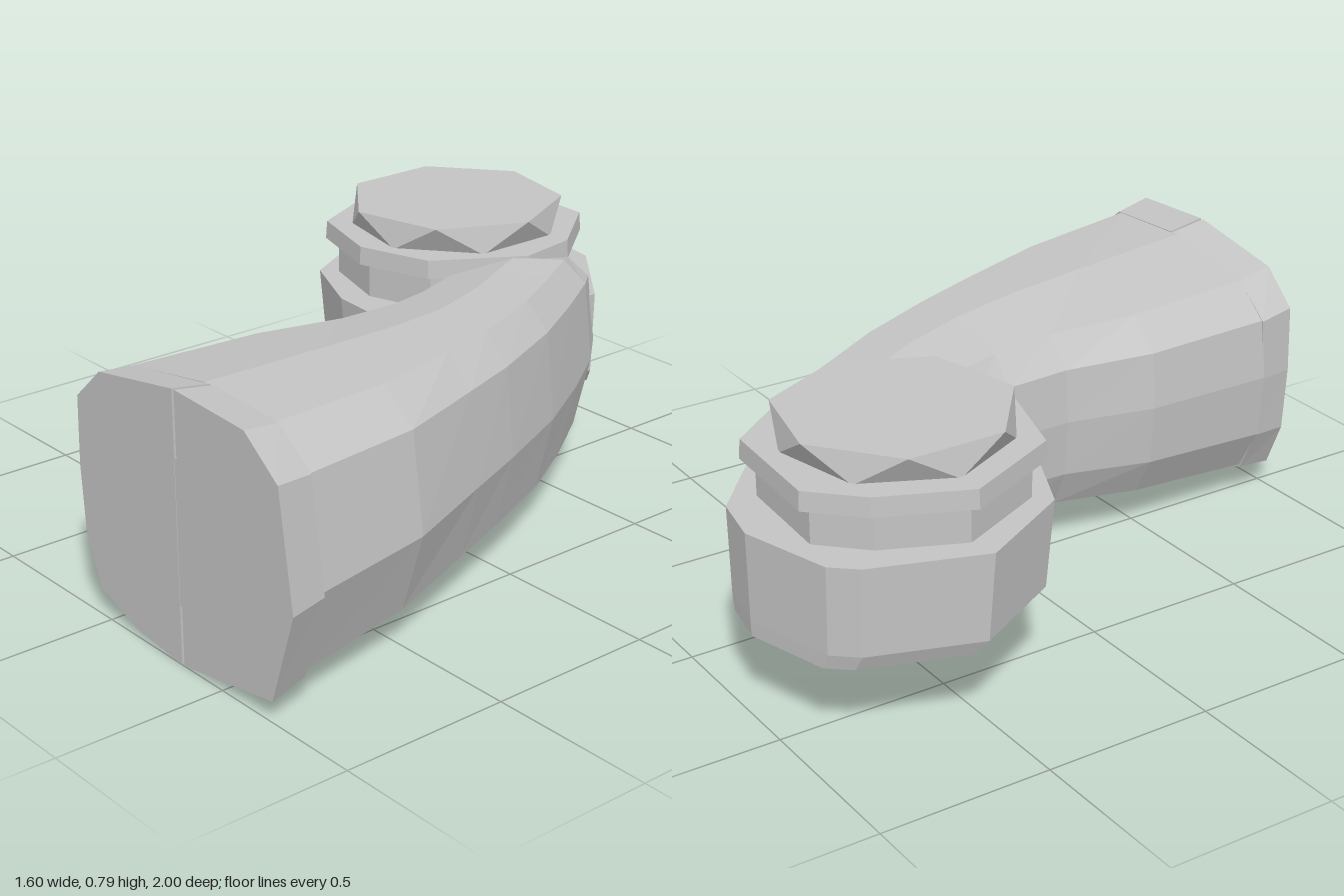
import * as THREE from 'three';

const grey = new THREE.MeshStandardMaterial({ color: 0xc4c4c4, flatShading: true });
grey.name = 'plain grey';

// Closed faceted solid through matching rings of [x, y, z] points
function loft(name, rings) {
  const tris = [];
  const n = rings[0].length;
  const centre = (r) => [0, 1, 2].map((k) => r.reduce((s, p) => s + p[k], 0) / n);
  const first = rings[0], last = rings[rings.length - 1];
  const c0 = centre(first), c1 = centre(last);
  for (let j = 0; j < n; j++) {
    const k = (j + 1) % n;
    for (let i = 0; i + 1 < rings.length; i++) {
      const a = rings[i], b = rings[i + 1];
      tris.push([a[j], a[k], b[j]], [a[k], b[k], b[j]]);
    }
    tris.push([c0, first[k], first[j]], [c1, last[j], last[k]]);
  }
  // Turn every face outwards
  const v = (p) => new THREE.Vector3(...p);
  const volume = tris.reduce((s, t) => s + v(t[0]).dot(v(t[1]).cross(v(t[2]))), 0);
  if (volume < 0) tris.forEach((t) => t.reverse());
  const geo = new THREE.BufferGeometry();
  geo.setAttribute('position', new THREE.Float32BufferAttribute(tris.flat(2), 3));
  geo.computeVertexNormals();
  const mesh = new THREE.Mesh(geo, grey);
  mesh.name = name;
  return mesh;
}

// Horizontal ring: an [x, z] outline scaled about the drum axis at height y
const AX = -0.36, AZ = -0.55;
const level = (outline, y, s = 1, dz = 0) =>
  outline.map(([x, z]) => [AX + (x - AX) * s, y, AZ + (z - AZ) * s + dz]);

const polygon = (sides, r, turn) => Array.from({ length: sides }, (_, i) => {
  const a = ((i + turn) / sides) * Math.PI * 2;
  return [AX + r * Math.cos(a), AZ + r * Math.sin(a)];
});

export function createModel() {
  const model = new THREE.Group();
  model.name = 'bentDuct';

  // Curved duct: rounded section stretched between left and right edges
  const section = [[0.49, 1], [0.81, 0.98], [0.95, 0.85], [1, 0.43], [0.9, 0.07], [0.5, 0],
    [0.28, 0.02], [0.1, 0.1], [0.02, 0.28], [0, 0.55], [0.02, 0.8], [0.14, 0.93]];
  // leftX, leftZ, rightX, rightZ, bottom, top
  const stations = [
    [-0.14, 0.885, 0.765, 0.885, 0.03, 0.755],
    [-0.14, 0.47, 0.7, 0.5, 0.06, 0.735],
    [-0.08, 0.2, 0.58, 0.2, 0.08, 0.72],
    [-0.08, 0, 0.5, 0, 0.09, 0.71],
    [-0.1, -0.12, 0.37, -0.28, 0.085, 0.705],
    [-0.13, -0.21, 0.24, -0.5, 0.09, 0.7],
    [-0.14, -0.28, 0.14, -0.66, 0.12, 0.7],
    [-0.15, -0.34, 0.06, -0.75, 0.18, 0.67],
  ];
  model.add(loft('curvedDuct', stations.map(([lx, lz, rx, rz, b, t]) =>
    section.map(([u, w]) => [lx + (rx - lx) * u, b + (t - b) * w, lz + (rz - lz) * u]))));

  // Front collar: two flared halves with a narrow slit between them
  const halves = {
    collarLeft: [[0.335, 0.775], [0.62, 0.76], [0.75, 0.66], [0.8, 0.33], [0.71, 0.06], [0.335, 0]],
    collarRight: [[0.325, 0], [0.13, 0.02], [-0.04, 0.08], [-0.1, 0.22], [-0.115, 0.42],
      [-0.11, 0.62], [0, 0.72], [0.325, 0.775]],
  };
  for (const [name, pts] of Object.entries(halves)) {
    const sx = name === 'collarLeft' ? 0.94 : 1.04;
    model.add(loft(name, [
      pts.map(([x, y]) => [x, y, 1]),
      pts.map(([x, y]) => [0.33 + (x - 0.33) * sx, 0.39 + (y - 0.39) * 0.95, 0.88]),
    ]));
  }

  // Hub closing the middle of the slit
  const hub = new THREE.Mesh(new THREE.CylinderGeometry(0.22, 0.22, 0.12, 7), grey);
  hub.name = 'collarHub';
  hub.rotation.x = Math.PI / 2;
  hub.position.set(0.33, 0.39, 0.9385);
  model.add(hub);

  // Drum at the rear end, chamfered underneath except at the back
  const drum = [[-0.36, -1], [-0.63, -0.92], [-0.69, -0.85], [-0.8, -0.53], [-0.64, -0.24],
    [-0.4, -0.13], [-0.18, -0.11], [0, -0.3], [0.07, -0.74], [-0.2, -0.97]];
  model.add(loft('drum', [level(drum, 0.24, 0.9, -0.04), level(drum, 0.285, 0.97, -0.01),
    level(drum, 0.54)]));

  // Neck, flange and faceted cap stacked on the drum
  const flange = [[-0.52, -0.93], [-0.17, -0.91], [0, -0.69], [0.03, -0.5], [-0.13, -0.24],
    [-0.36, -0.17], [-0.62, -0.25], [-0.76, -0.55], [-0.65, -0.8]];
  model.add(loft('neck', [level(flange, 0.5, 0.9), level(flange, 0.66, 0.9)]));
  model.add(loft('flange', [level(flange, 0.65), level(flange, 0.705, 0.99)]));
  model.add(loft('cap', [level(polygon(7, 0.315, -0.5), 0.7), level(polygon(7, 0.33, 0), 0.785)]));

  return model;
}
